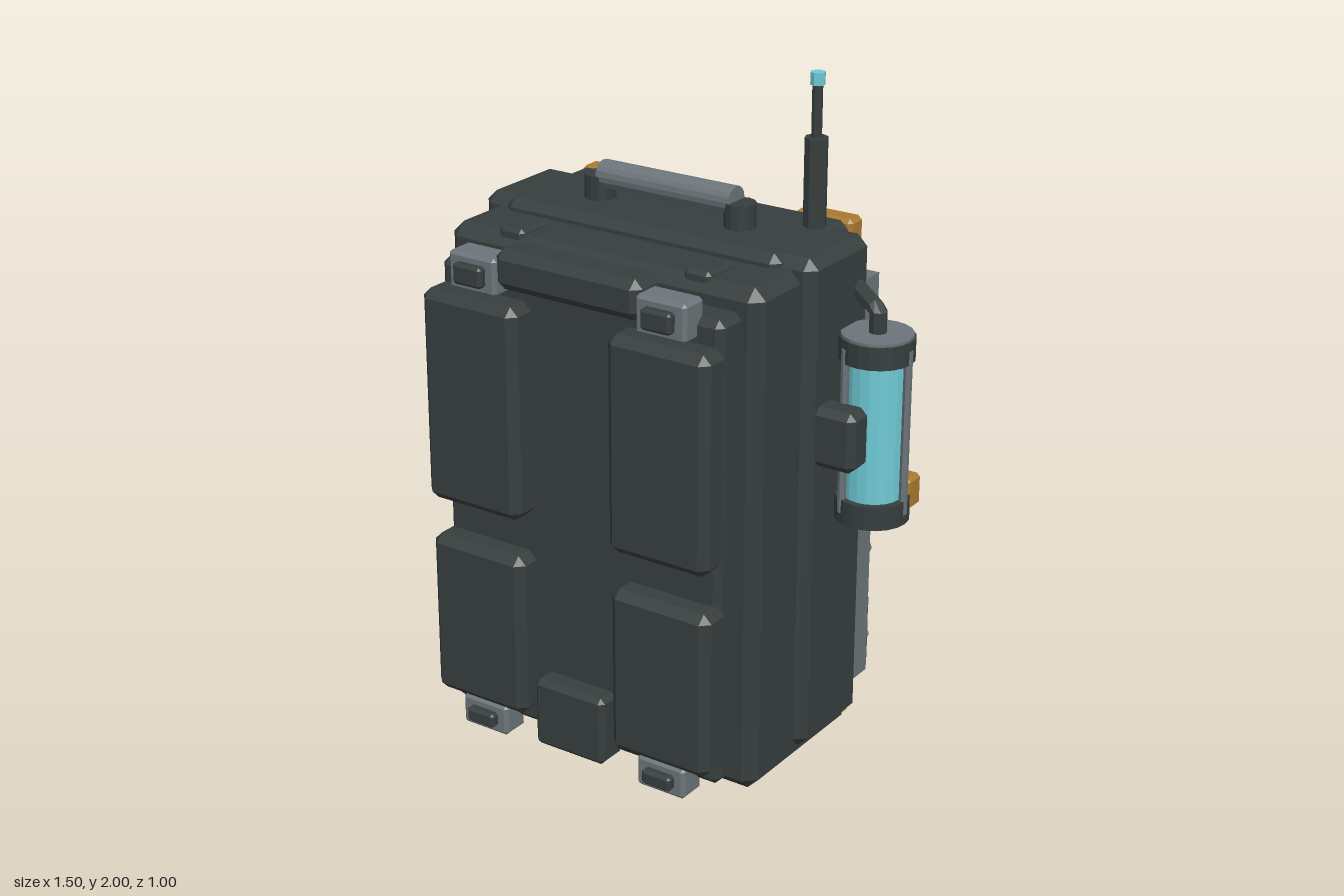
import * as THREE from 'three';
import { ConvexGeometry } from 'three/addons/geometries/ConvexGeometry.js';

const mat = (name, color) => {
  const m = new THREE.MeshStandardMaterial({ color, flatShading: true });
  m.name = name;
  return m;
};

// Box with chamfered edges, given by its extents
function chamferBox(x0, x1, y0, y1, z0, z1, c) {
  const a = [(x1 - x0) / 2, (y1 - y0) / 2, (z1 - z0) / 2];
  const pts = [];
  for (const sx of [-1, 1]) for (const sy of [-1, 1]) for (const sz of [-1, 1])
    for (let k = 0; k < 3; k++) {
      const d = a.map((v, i) => (i === k ? v : v - c));
      pts.push(new THREE.Vector3(sx * d[0], sy * d[1], sz * d[2]));
    }
  return new ConvexGeometry(pts).translate((x0 + x1) / 2, (y0 + y1) / 2, (z0 + z1) / 2);
}

export function createModel() {
  const dark = mat('dark shell', 0x373e3e);
  const grey = mat('grey metal', 0x6c757a);
  const orange = mat('ochre panel', 0xa97a30);
  const beige = mat('pale panel', 0xb3ae9e);
  const cyan = mat('cyan glow', 0x6fcad6);
  const teal = mat('teal screen', 0x2c7681);

  const model = new THREE.Group();
  model.name = 'backpack';
  const root = new THREE.Group();
  root.name = 'pack';
  root.position.x = -0.006;
  model.add(root);

  const add = (name, geo, m) => {
    const mesh = new THREE.Mesh(geo, m);
    mesh.name = name;
    root.add(mesh);
    return mesh;
  };
  const box = (name, m, x0, x1, y0, y1, z0, z1, c = 0) => add(name, c
    ? chamferBox(x0, x1, y0, y1, z0, z1, c)
    : new THREE.BoxGeometry(x1 - x0, y1 - y0, z1 - z0).translate((x0 + x1) / 2, (y0 + y1) / 2, (z0 + z1) / 2), m);
  // Same box on both sides
  const pair = (name, m, x0, x1, ...rest) => {
    box(name + 'Left', m, x0, x1, ...rest);
    box(name + 'Right', m, -x1, -x0, ...rest);
  };
  const rod = (name, m, r, y0, y1, x, z, n = 12) =>
    add(name, new THREE.CylinderGeometry(r, r, y1 - y0, n).translate(x, (y0 + y1) / 2, z), m);

  // Shell
  box('core', dark, -0.457, 0.457, 0.005, 1.57, -0.25, 0.14, 0.025);
  box('body', dark, -0.517, 0.517, 0.045, 1.535, -0.2, 0.32, 0.035);
  pair('sidePanel', dark, 0.4, 0.553, 0.1, 1.565, -0.195, 0.115, 0.03);
  box('frontPad', dark, -0.465, 0.465, 0.1, 1.47, 0.3, 0.415, 0.02);

  // Front pouches, buckles and straps
  pair('upperPouch', dark, 0.15, 0.475, 0.77, 1.4, 0.39, 0.5, 0.025);
  pair('lowerPouch', dark, 0.15, 0.475, 0.155, 0.655, 0.38, 0.49, 0.025);
  box('topRoll', dark, -0.24, 0.24, 1.435, 1.55, 0.35, 0.47, 0.025);
  box('frontBlock', dark, -0.12, 0.12, 0.08, 0.29, 0.38, 0.48, 0.015);
  pair('topStrap', dark, 0.265, 0.35, 1.5, 1.55, 0.17, 0.3, 0.012);
  for (const [y0, y1] of [[1.41, 1.52], [0.06, 0.155]]) {
    pair('buckle', grey, 0.23, 0.39, y0, y1, 0.38, 0.47, 0.01);
    pair('buckleCatch', dark, 0.262, 0.358, y0 + 0.025, y1 - 0.025, 0.46, 0.495, 0.008);
  }

  // Handle
  add('handleGrip', new THREE.CylinderGeometry(0.04, 0.04, 0.445, 16)
    .rotateZ(Math.PI / 2).translate(0, 1.642, -0.022), grey);
  for (const s of [-1, 1]) rod('handlePost', dark, 0.045, 1.55, 1.64, s * 0.235, -0.022);

  // Antenna
  rod('antennaBase', dark, 0.033, 1.55, 1.82, 0.397, -0.145, 8);
  rod('antennaMast', dark, 0.015, 1.8, 1.97, 0.397, -0.145, 8);
  rod('antennaTip', cyan, 0.021, 1.965, 2, 0.397, -0.145, 8);

  // Side tanks
  for (const s of [-1, 1]) {
    const x = s * 0.643, z = -0.08;
    rod('tankGlass', cyan, 0.086, 0.84, 1.28, x, z, 20);
    for (const [y0, y1] of [[0.79, 0.86], [1.26, 1.325]]) rod('tankCap', dark, 0.105, y0, y1, x, z, 20);
    rod('tankLid', grey, 0.1, 1.32, 1.333, x, z, 20);
    for (let i = 0; i < 3; i++) {
      const a = (i * Math.PI * 2) / 3;
      rod('tankRod', grey, 0.012, 0.82, 1.3, x + Math.cos(a) * 0.097, z + Math.sin(a) * 0.097, 6);
    }
    const hose = new THREE.CurvePath();
    const p = [[x, 1.32, z], [x, 1.395, z], [s * 0.52, 1.435, -0.145]].map(v => new THREE.Vector3(...v));
    hose.add(new THREE.LineCurve3(p[0], p[1]));
    hose.add(new THREE.LineCurve3(p[1], p[2]));
    add('tankHose', new THREE.TubeGeometry(hose, 12, 0.025, 8), dark);
  }
  pair('tankBracket', dark, 0.53, 0.67, 0.97, 1.145, -0.01, 0.085, 0.02);
  pair('tankClamp', orange, 0.655, 0.737, 0.81, 0.905, -0.187, -0.115, 0.01);

  // Back rails with bolts
  pair('rail', grey, 0.45, 0.525, 0.18, 1.42, -0.285, -0.19);
  for (const s of [-1, 1]) for (const y of [0.28, 0.56, 0.8, 1.05, 1.32])
    add('railBolt', new THREE.CylinderGeometry(0.02, 0.02, 0.04, 8)
      .rotateX(Math.PI / 2).translate(s * 0.492, y, -0.3), grey);

  // Back panels and corner guards
  box('upperPanel', orange, -0.45, 0.45, 0.96, 1.49, -0.29, -0.22, 0.012);
  box('lowerPanel', beige, -0.445, 0.445, 0.42, 0.965, -0.33, -0.23, 0.018);
  pair('topGuard', orange, 0.275, 0.46, 1.475, 1.57, -0.305, -0.235, 0.012);
  pair('bottomGuard', orange, 0.275, 0.46, 0.01, 0.11, -0.305, -0.235, 0.012);
  const tri = new THREE.Shape([[-0.045, -0.04], [0.045, -0.04], [0, 0.035]].map(v => new THREE.Vector2(...v)));
  add('panelMark', new THREE.ExtrudeGeometry(tri, { depth: 0.006, bevelEnabled: false })
    .translate(-0.05, 0.905, -0.335), grey);

  // Screen with bar readout
  box('screenHousing', dark, -0.4, 0.095, 1.1, 1.4, -0.36, -0.27, 0.025);
  const w = 0.185, h = 0.1, k = 0.03;
  const glass = new THREE.Shape([[-w + k, -h], [w - k, -h], [w, -h + k], [w, h - k],
    [w - k, h], [-w + k, h], [-w, h - k], [-w, -h + k]].map(v => new THREE.Vector2(...v)));
  add('screen', new THREE.ExtrudeGeometry(glass, { depth: 0.03, bevelEnabled: false })
    .translate(-0.135, 1.255, -0.382), teal);
  [0.06, 0.04, 0.1, 0.12, 0.06].forEach((len, i) => {
    const x = -0.02 - i * 0.062;
    box('screenBar', cyan, x - 0.009, x + 0.009, 1.195, 1.195 + len, -0.391, -0.382);
  });
  for (const x of [0.2, 0.285, 0.37]) box('slot', dark, x - 0.022, x + 0.022, 1.155, 1.345, -0.35, -0.28, 0.008);

  // Vent with ribs and indicator
  box('ventHousing', dark, -0.3, 0.3, 0.505, 0.87, -0.425, -0.32, 0.025);
  for (let i = 0; i < 5; i++) {
    const y = 0.57 + i * 0.061;
    box('ventRib', dark, -0.245, 0.245, y - 0.015, y + 0.015, -0.472, -0.42);
  }
  box('ventIndicator', cyan, 0.185, 0.227, 0.635, 0.84, -0.497, -0.465);

  // Lower utility belt
  box('belt', dark, -0.445, 0.445, 0.12, 0.39, -0.315, -0.23, 0.02);
  for (const x of [-0.25, -0.083, 0.083, 0.25]) {
    box('beltPouch', dark, x - 0.06, x + 0.06, 0.155, 0.31, -0.37, -0.3, 0.012);
    box('beltLight', cyan, x - 0.04, x + 0.04, 0.27, 0.295, -0.376, -0.368);
  }
  pair('beltLink', dark, 0.34, 0.43, 0.16, 0.32, -0.37, -0.3);
  pair('beltEnd', dark, 0.315, 0.455, 0.11, 0.36, -0.425, -0.355, 0.015);
  for (const y of [0.165, 0.235, 0.305]) pair('beltSlat', grey, 0.338, 0.432, y - 0.01, y + 0.01, -0.452, -0.42);

  return model;
}
